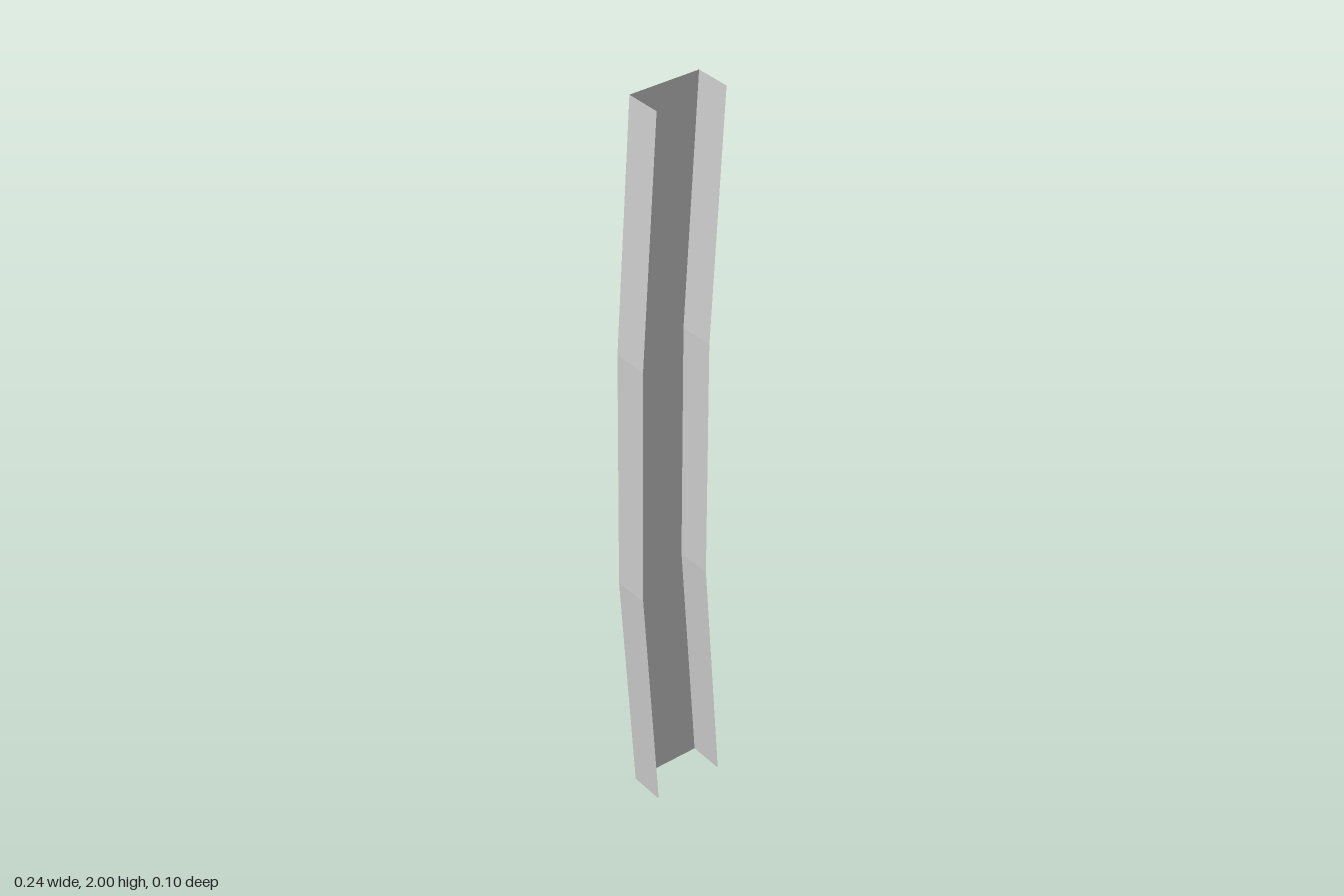
import * as THREE from 'three';

const HALF_WIDTH = 0.098, HALF_DEPTH = 0.049;
// Height and sideways offset of each cross-section along the bowed channel
const SECTIONS = [[0, 0.023], [2 / 3, -0.023], [4 / 3, -0.019], [2, 0.023]];

// Sheet swept up the sections between two plan points [x, z]
function sheet(name, a, b, material) {
  const positions = [], index = [];
  SECTIONS.forEach(([y, offset], i) => {
    for (const [x, z] of [a, b]) positions.push(x + offset, y, z);
    if (i > 0) {
      const n = 2 * i;
      index.push(n - 2, n - 1, n + 1, n - 2, n + 1, n);
    }
  });
  const geometry = new THREE.BufferGeometry();
  geometry.setAttribute('position', new THREE.Float32BufferAttribute(positions, 3));
  geometry.setIndex(index);
  geometry.computeVertexNormals();
  const mesh = new THREE.Mesh(geometry, material);
  mesh.name = name;
  return mesh;
}

export function createModel() {
  const group = new THREE.Group();
  group.name = 'bentChannel';
  const material = new THREE.MeshStandardMaterial({
    color: 0xcccccc, flatShading: true, side: THREE.DoubleSide,
  });
  const w = HALF_WIDTH, d = HALF_DEPTH;

  // Back web with a flange reaching forward from each side
  group.add(
    sheet('web', [w, -d], [-w, -d], material),
    sheet('leftFlange', [w, d], [w, -d], material),
    sheet('rightFlange', [-w, -d], [-w, d], material),
  );
  return group;
}
